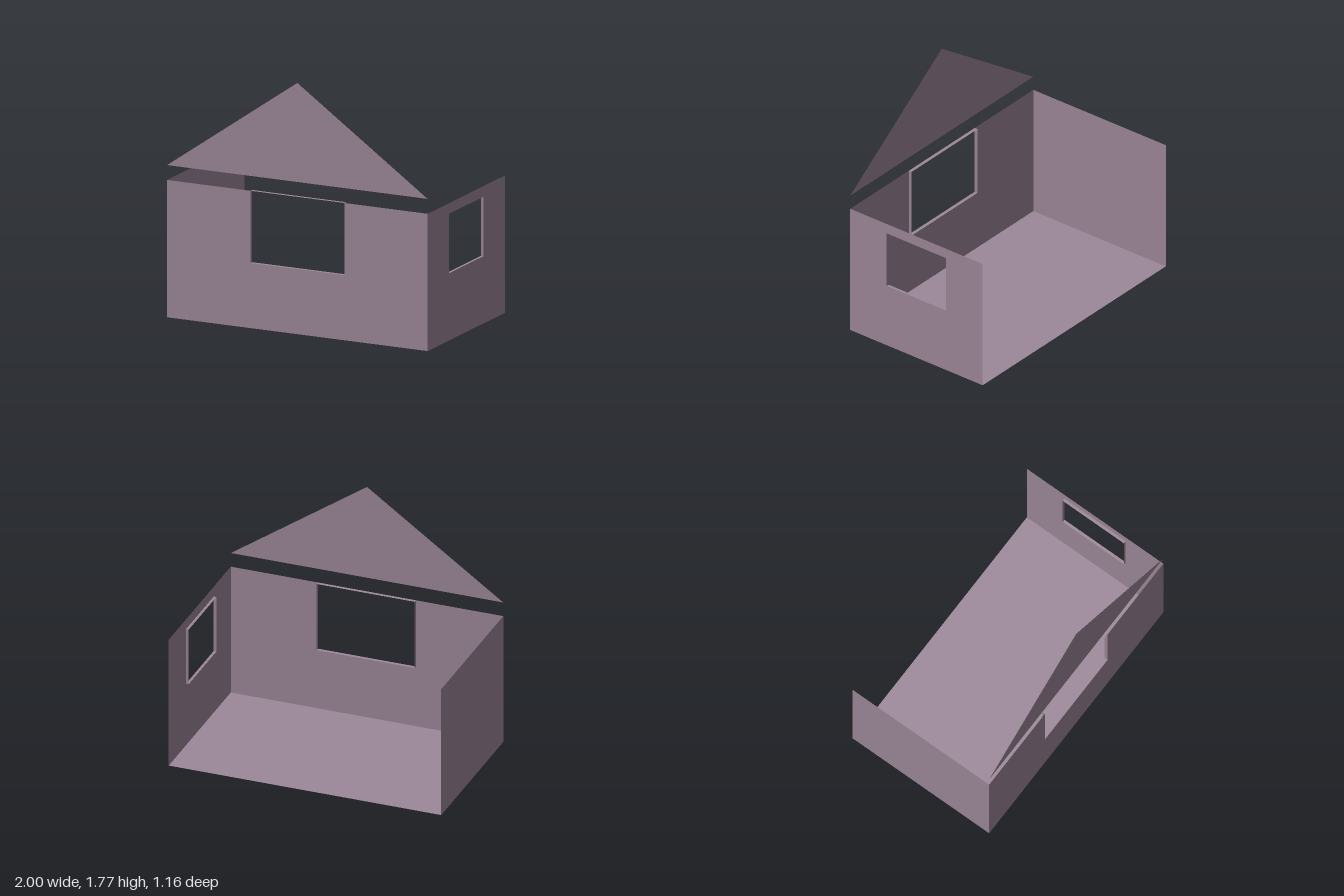
import * as THREE from 'three';

const W = 1, D = 0.58, H = 0.97; // half width, half depth, wall height
const material = new THREE.MeshStandardMaterial({
  color: 0x9c8799, flatShading: true, side: THREE.DoubleSide,
});

function mesh(name, geometry) {
  const m = new THREE.Mesh(geometry, material);
  m.name = name;
  return m;
}

function polygon(points) {
  return points.map(([x, y]) => new THREE.Vector2(x, y));
}

// Flat wall in the xy plane, facing +z
function wallPanel(name, half) {
  return mesh(name, new THREE.ShapeGeometry(
    new THREE.Shape(polygon([[-half, 0], [half, 0], [half, H], [-half, H]]))));
}

// Wall with a rectangular window and the thin lining set back into it
function windowWall(name, half, { w, y0, y1, depth }) {
  const group = new THREE.Group();
  group.name = name;
  const h = y1 - y0, mid = (y0 + y1) / 2;

  // A window that reaches the top edge becomes a notch, otherwise a hole
  let shape;
  if (y1 >= H) {
    shape = new THREE.Shape(polygon([[-half, 0], [half, 0], [half, H], [w, H],
      [w, y0], [-w, y0], [-w, H], [-half, H]]));
  } else {
    shape = new THREE.Shape(polygon([[-half, 0], [half, 0], [half, H], [-half, H]]));
    shape.holes.push(new THREE.Path(polygon([[-w, y0], [-w, y1], [w, y1], [w, y0]])));
  }
  group.add(mesh(name + 'Panel', new THREE.ShapeGeometry(shape)));

  for (const s of [-1, 1]) {
    const jamb = mesh('windowJamb', new THREE.PlaneGeometry(depth, h).rotateY(-s * Math.PI / 2));
    jamb.position.set(s * w, mid, -depth / 2);
    const rail = mesh(s > 0 ? 'windowHead' : 'windowSill',
      new THREE.PlaneGeometry(2 * w, depth).rotateX(s * Math.PI / 2));
    rail.position.set(0, mid + s * h / 2, -depth / 2);
    group.add(jamb, rail);
  }
  return group;
}

export function createModel() {
  const model = new THREE.Group();
  model.name = 'openRoom';

  // Floor
  model.add(mesh('floor', new THREE.PlaneGeometry(2 * W, 2 * D).rotateX(-Math.PI / 2)));

  // Front wall with its wide window
  const front = windowWall('frontWall', W, { w: 0.36, y0: 0.46, y1: H, depth: 0.025 });
  front.position.z = D;
  model.add(front);

  // Left wall with a smaller window
  const left = windowWall('leftWall', D, { w: 0.26, y0: 0.475, y1: 0.895, depth: 0.02 });
  left.rotation.y = Math.PI / 2;
  left.position.x = W;
  model.add(left);

  // Plain right wall; the back stays open
  const right = wallPanel('rightWall', D);
  right.rotation.y = -Math.PI / 2;
  right.position.x = -W;
  model.add(right);

  // Gable floating above the front wall
  const gable = mesh('gable', new THREE.ShapeGeometry(
    new THREE.Shape(polygon([[-W, 1.075], [W, 1.075], [0, 1.775]]))));
  gable.position.z = D;
  model.add(gable);

  return model;
}
